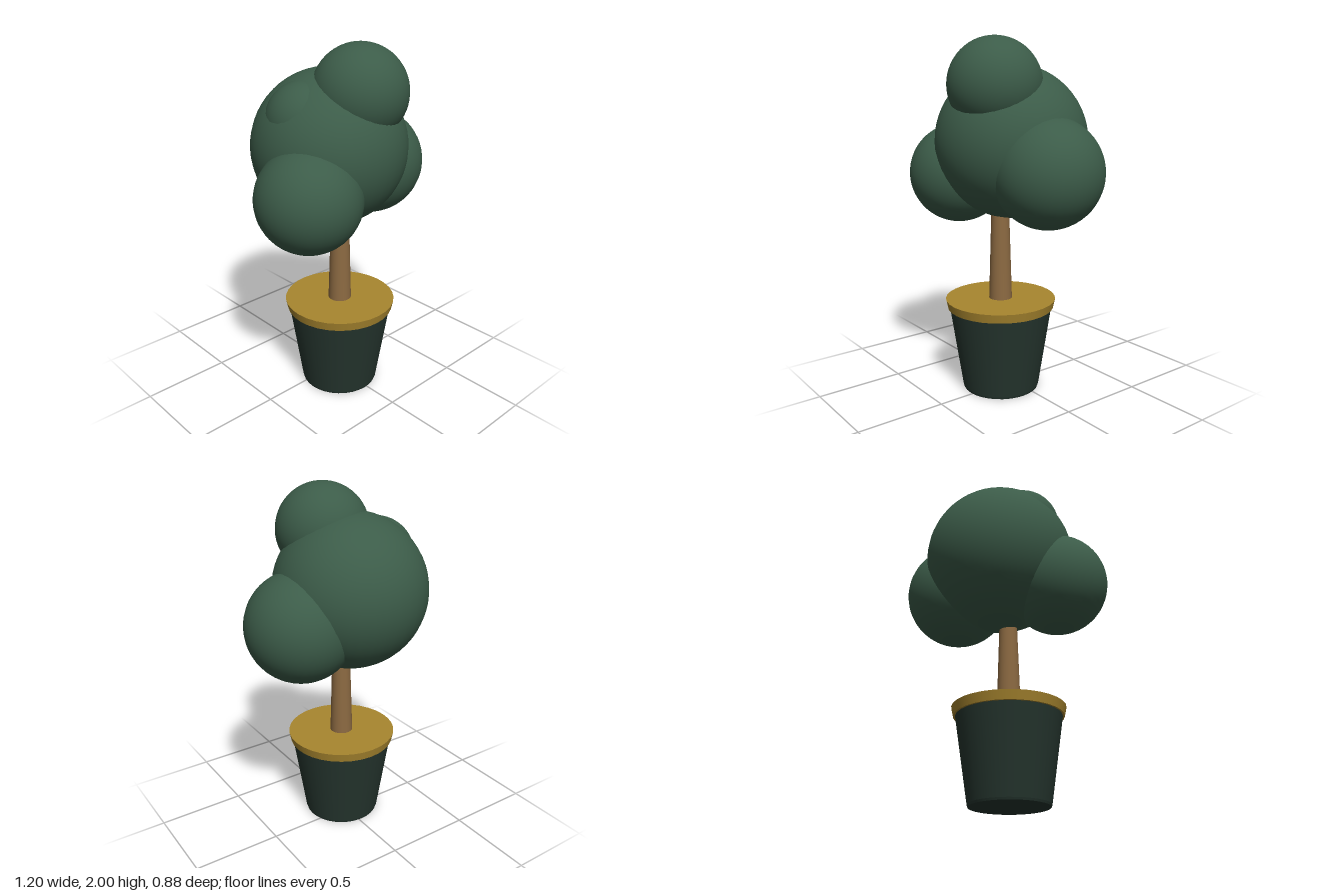
import * as THREE from 'three';

const material = (color) => new THREE.MeshStandardMaterial({ color });

export function createModel() {
  const model = new THREE.Group();
  model.name = 'pottedTree';

  const leaf = material(0x3c5c49);
  const bark = material(0x8c6a42);
  const glaze = material(0x25352e);
  const gold = material(0xa8862f);

  function add(name, geometry, mat, x, y, z) {
    const mesh = new THREE.Mesh(geometry, mat);
    mesh.name = name;
    mesh.position.set(x, y, z);
    model.add(mesh);
  }

  // Tapered round section standing between two heights on the pot axis
  const axis = { x: -0.018, z: 0.073 };
  function taper(name, mat, bottomRadius, topRadius, y0, y1) {
    add(name, new THREE.CylinderGeometry(topRadius, bottomRadius, y1 - y0, 32),
      mat, axis.x, (y0 + y1) / 2, axis.z);
  }

  // Pot with a small foot edge, topped by a solid rim disc
  taper('potFoot', glaze, 0.218, 0.222, 0, 0.012);
  taper('potBody', glaze, 0.222, 0.295, 0.012, 0.49);
  taper('potRim', gold, 0.305, 0.316, 0.483, 0.534);

  // Trunk runs up into the crown
  taper('trunk', bark, 0.066, 0.049, 0.53, 1.1);

  // Crown of overlapping balls: name, radius, x, y, z
  const balls = [
    ['crownMain', 0.43, -0.022, 1.43, -0.01],
    ['crownTop', 0.258, 0.046, 1.742, 0.153],
    ['crownLeft', 0.305, 0.295, 1.285, -0.01],
    ['crownRight', 0.287, -0.313, 1.237, 0.151],
    ['crownBump', 0.215, -0.19, 1.6, -0.01],
  ];
  for (const [name, r, x, y, z] of balls) {
    add(name, new THREE.SphereGeometry(r, 40, 28), leaf, x, y, z);
  }

  return model;
}
